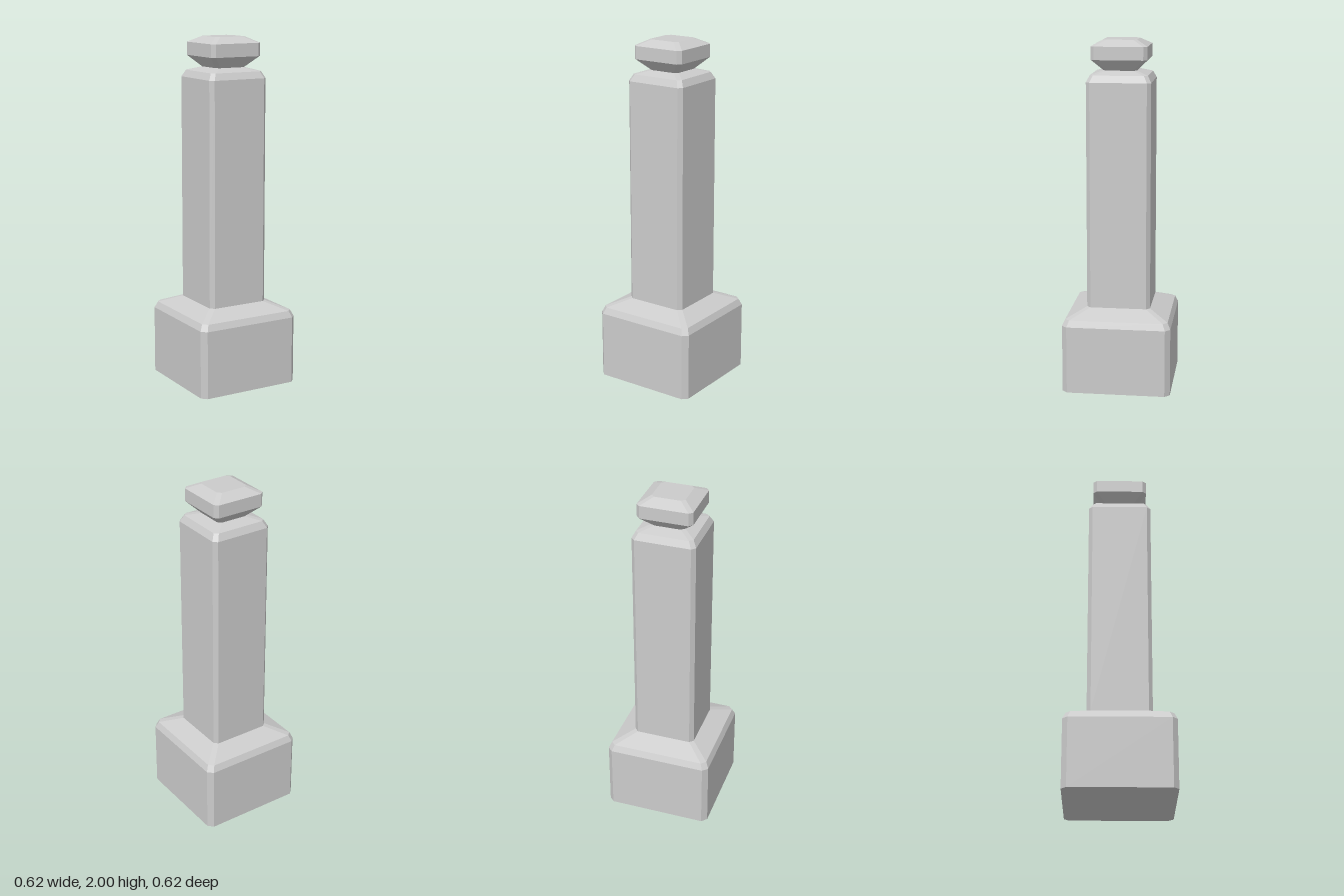
import * as THREE from 'three';

const material = new THREE.MeshStandardMaterial({ color: 0xcccccc, flatShading: true });

// Square with cut corners, counter-clockwise seen from above
function ring([y, half, cut]) {
  const k = half - cut;
  return [
    [half, k], [half, -k], [k, -half], [-k, -half],
    [-half, -k], [-half, k], [-k, half], [k, half],
  ].map(([x, z]) => [x, y, z]);
}

// Stack of [height, half width, corner cut] sections, closed at both ends
function chamferedStack(name, sections) {
  const rings = sections.map(ring);
  const n = 8;
  const positions = [];
  const tri = (a, b, c) => positions.push(...a, ...b, ...c);
  for (let r = 0; r < rings.length - 1; r++) {
    const low = rings[r], high = rings[r + 1];
    for (let i = 0; i < n; i++) {
      const j = (i + 1) % n;
      tri(low[i], low[j], high[j]);
      tri(low[i], high[j], high[i]);
    }
  }
  const bottom = rings[0], top = rings[rings.length - 1];
  for (let i = 1; i < n - 1; i++) {
    tri(bottom[0], bottom[i + 1], bottom[i]);
    tri(top[0], top[i], top[i + 1]);
  }
  const geometry = new THREE.BufferGeometry();
  geometry.setAttribute('position', new THREE.Float32BufferAttribute(positions, 3));
  geometry.computeVertexNormals();
  const mesh = new THREE.Mesh(geometry, material);
  mesh.name = name;
  return mesh;
}

export function createModel() {
  const post = new THREE.Group();
  post.name = 'post';

  // Wide plinth with a bevelled, sloping top
  post.add(chamferedStack('base', [
    [0, 0.31, 0.029], [0.392, 0.31, 0.029], [0.429, 0.293, 0.026], [0.477, 0.182, 0.022],
  ]));

  // Tall shaft with a bevelled shoulder narrowing to the neck
  post.add(chamferedStack('shaft', [
    [0.477, 0.182, 0.022], [1.77, 0.182, 0.022], [1.808, 0.162, 0.02], [1.829, 0.094, 0.02],
  ]));

  // Cap flaring out from the neck, with a sloped top
  post.add(chamferedStack('cap', [
    [1.829, 0.094, 0.02], [1.892, 0.158, 0.021], [1.966, 0.158, 0.021], [2, 0.094, 0.02],
  ]));

  return post;
}
